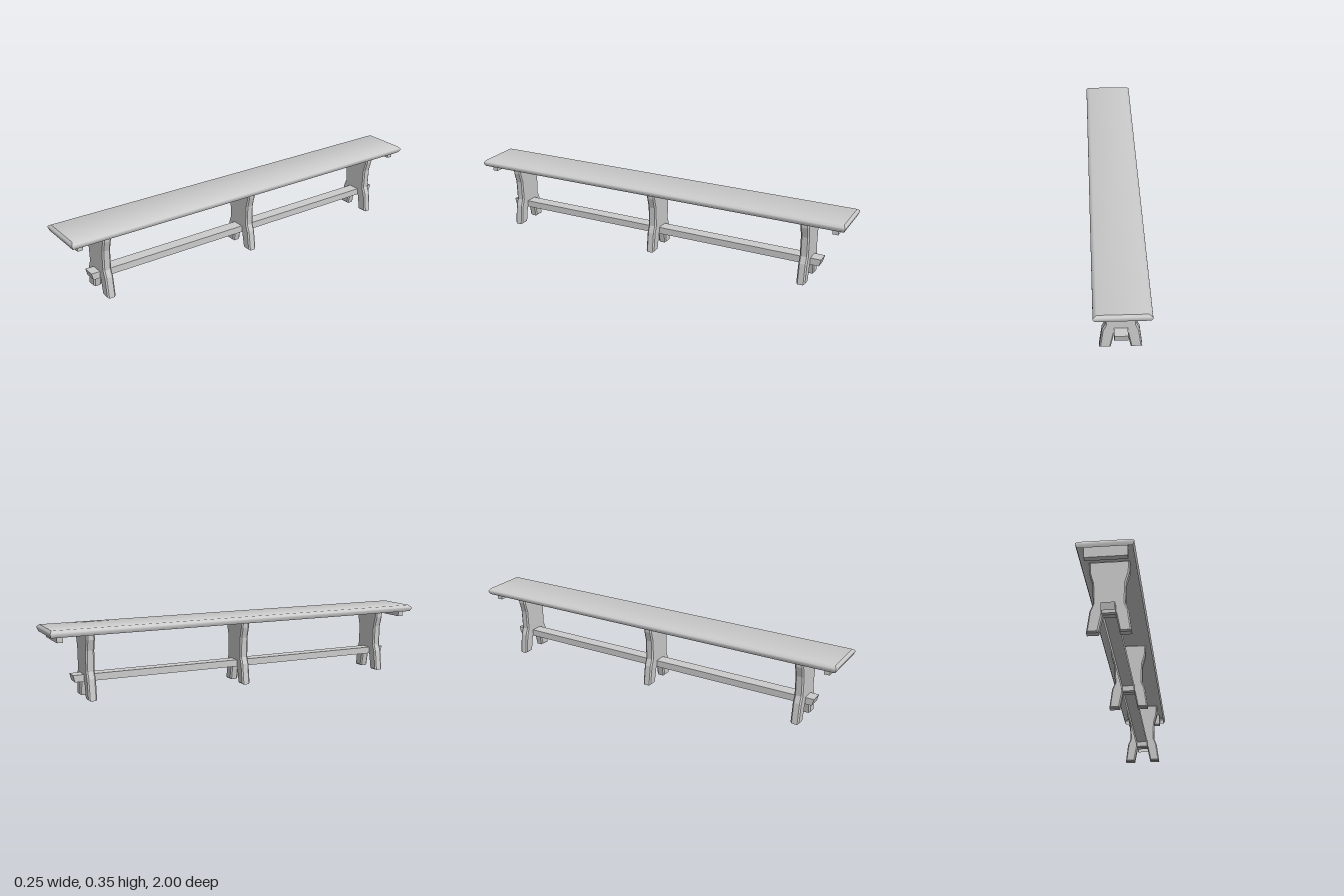
import * as THREE from 'three';
import { toCreasedNormals } from 'three/addons/utils/BufferGeometryUtils.js';

const material = new THREE.MeshStandardMaterial({ color: 0xcccccc });
const openMaterial = new THREE.MeshStandardMaterial({ color: 0xcccccc, side: THREE.DoubleSide });

function add(group, name, geometry, mat, y = 0, z = 0) {
  const mesh = new THREE.Mesh(geometry, mat);
  mesh.name = name;
  mesh.position.set(0, y, z);
  group.add(mesh);
}

// Plank shell, open underneath, from rectangles [y, half width, half length], bottom to top
function plankShell(levels) {
  const points = [], index = [];
  for (const [y, w, l] of levels) points.push(-w, y, l, w, y, l, w, y, -l, -w, y, -l);
  for (let i = 0; i < levels.length - 1; i++) {
    for (let j = 0; j < 4; j++) {
      const a = i * 4 + j, b = i * 4 + (j + 1) % 4;
      index.push(a, b, b + 4, a, b + 4, a + 4);
    }
  }
  const t = (levels.length - 1) * 4;
  index.push(t, t + 1, t + 2, t, t + 2, t + 3);
  const geometry = new THREE.BufferGeometry();
  geometry.setAttribute('position', new THREE.Float32BufferAttribute(points, 3));
  geometry.setIndex(index);
  return toCreasedNormals(geometry, 0.65);
}

// Waisted trestle board with a splayed notch and chamfered edges
function trestleGeometry() {
  const half = [
    [0.029, 0.083], [0.045, 0], [0.097, 0], [0.084, 0.102],
    [0.07, 0.136], [0.073, 0.236], [0.088, 0.288], [0.09, 0.346],
  ];
  const outline = [...half, ...half.map(([x, y]) => [-x, y]).reverse()];
  const shape = new THREE.Shape(outline.map(([x, y]) => new THREE.Vector2(x, y)));
  const chamfer = 0.007, thickness = 0.042;
  const geometry = new THREE.ExtrudeGeometry(shape, {
    depth: thickness - 2 * chamfer, bevelThickness: chamfer,
    bevelSize: 0.006, bevelOffset: -0.006, bevelSegments: 1,
  });
  return geometry.translate(0, 0, chamfer - thickness / 2);
}

export function createModel() {
  const bench = new THREE.Group();
  bench.name = 'bench';

  // Seat shell with a flat top and rounded-over edges
  add(bench, 'seat', plankShell([
    [0.315, 0.117, 0.994], [0.33, 0.125, 1], [0.334, 0.125, 1],
    [0.339, 0.123, 0.998], [0.348, 0.108, 0.99],
  ]), openMaterial);

  // Three trestle legs reaching up into the seat
  const trestle = trestleGeometry();
  [['frontLeg', 0.812], ['middleLeg', 0], ['backLeg', -0.802]]
    .forEach(([name, z]) => add(bench, name, trestle, material, 0, z));

  // Cross cleats beneath the seat ends
  const cleat = new THREE.BoxGeometry(0.188, 0.059, 0.028);
  add(bench, 'frontCleat', cleat, material, 0.3165, 0.949);
  add(bench, 'backCleat', cleat, material, 0.3165, -0.949);

  // Long stretcher through the legs, ends slightly undercut
  add(bench, 'stretcher', plankShell([[0.083, 0.031, 0.867], [0.117, 0.031, 0.876]]), openMaterial);

  return bench;
}
